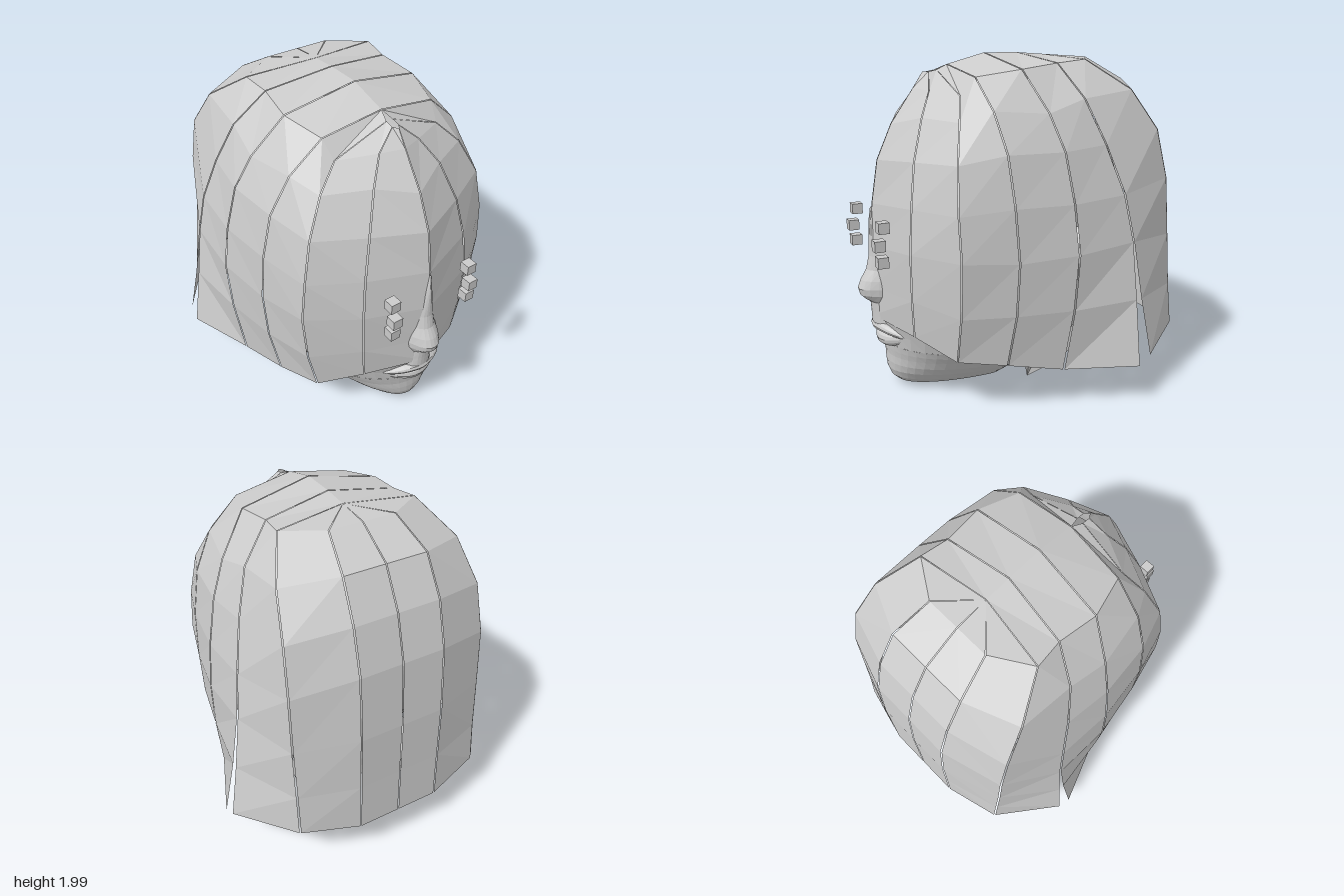
import * as THREE from 'three';

const material = new THREE.MeshStandardMaterial({ color: 0xcccccc, flatShading: true, side: THREE.DoubleSide });

// Skin a grid of cross-sections, each row holding the same number of [x, y, z] points
function loft(rows) {
  const n = rows[0].length, index = [];
  for (let i = 0; i < rows.length - 1; i++) {
    for (let j = 0; j < n - 1; j++) {
      const a = i * n + j, b = a + n;
      index.push(a, a + 1, b, a + 1, b + 1, b);
    }
  }
  const geometry = new THREE.BufferGeometry();
  geometry.setAttribute('position', new THREE.Float32BufferAttribute(rows.flat(2), 3));
  geometry.setIndex(index);
  geometry.computeVertexNormals();
  return geometry;
}

function part(name, geometry) {
  const mesh = new THREE.Mesh(geometry, material);
  mesh.name = name;
  return mesh;
}

// Hair seams on the left half, root to tip, from the front parting round to the back
const frontCentre = [[0, 1.89, 0.53], [0, 1.8, 0.59], [0, 1.6, 0.73], [0, 1.4, 0.82], [0, 1.15, 0.86], [0, 0.9, 0.88], [0, 0.65, 0.88], [0, 0.47, 0.88]];
const fringeInner = [[0.02, 1.89, 0.5], [0.13, 1.79, 0.54], [0.22, 1.65, 0.62], [0.3, 1.42, 0.7], [0.35, 1.17, 0.74], [0.37, 0.92, 0.76], [0.36, 0.65, 0.755], [0.34, 0.43, 0.74]];
const fringeOuter = [[0.02, 1.9, 0.45], [0.34, 1.77, 0.44], [0.47, 1.64, 0.5], [0.58, 1.43, 0.56], [0.63, 1.17, 0.58], [0.65, 0.92, 0.575], [0.62, 0.6, 0.57], [0.56, 0.33, 0.57]];
const temple = [[0, 1.93, 0.38], [0.36, 1.87, 0.36], [0.55, 1.7, 0.34], [0.66, 1.48, 0.31], [0.71, 1.2, 0.29], [0.725, 0.9, 0.27], [0.71, 0.6, 0.28], [0.66, 0.3, 0.31]];
const aboveEar = [[0, 1.995, 0.14], [0.43, 1.91, 0.11], [0.6, 1.68, 0.03], [0.69, 1.48, -0.02], [0.75, 1.2, -0.05], [0.78, 0.92, -0.07], [0.77, 0.6, -0.05], [0.73, 0.24, -0.01]];
const behindEar = [[0, 1.995, -0.08], [0.4, 1.94, -0.13], [0.57, 1.75, -0.21], [0.66, 1.5, -0.3], [0.73, 1.22, -0.39], [0.77, 0.95, -0.435], [0.82, 0.62, -0.44], [0.89, 0.24, -0.43]];
const backSideFront = [...behindEar.slice(0, 6), [0.82, 0.62, -0.465], [0.88, 0.29, -0.5]];
const backSide = [[0, 1.985, -0.24], [0.42, 1.96, -0.3], [0.55, 1.79, -0.54], [0.6, 1.56, -0.7], [0.615, 1.27, -0.77], [0.615, 0.92, -0.8], [0.61, 0.6, -0.83], [0.61, 0.34, -0.86]];
const backInner = [[0, 1.985, -0.24], [0.2, 1.97, -0.44], [0.25, 1.84, -0.67], [0.26, 1.62, -0.8], [0.26, 1.35, -0.88], [0.26, 0.95, -0.92], [0.26, 0.6, -0.935], [0.26, 0.29, -0.95]];
const backCentre = backInner.map(([, y, z]) => [0, y, z]);

// A strip between two seams, held slightly short of both so a fine gap shows
function hairPanel(name, a, b) {
  const mix = (p, q, t) => p.map((v, k) => v + (q[k] - v) * t);
  return part(name, loft(a.map((p, i) => [0.012, 0.988].map(t => mix(p, b[i], t)))));
}

function hairHalf() {
  const half = new THREE.Group();
  const panels = [
    ['fringePanel', frontCentre, fringeInner], ['outerFringePanel', fringeInner, fringeOuter],
    ['templePanel', fringeOuter, temple], ['sidePanel', temple, aboveEar],
    ['earPanel', aboveEar, behindEar], ['backSidePanel', backSideFront, backSide],
    ['backOuterPanel', backSide, backInner], ['backInnerPanel', backInner, backCentre],
  ];
  for (const p of panels) half.add(hairPanel(...p));

  // Jagged strands at the nape: top row, then tips
  const strands = [
    [[0.4, 0.06, 0.13], [0.31, 0, 0.02], [0.38, -0.16, 0.11], [0.38, -0.31, 0.2]],
    [[0.38, -0.31, 0.2], [0.33, -0.36, 0.04], [0.29, -0.58, 0.11], [0.25, -0.6, 0.25]],
  ];
  for (const s of strands) {
    half.add(part('napeStrand', loft([s.map(([, z], i) => [0.43 - 0.02 * i, 0.4, z]), s.map(([x, z, y]) => [x, y, z])])));
  }

  // Ear, all but hidden under the hair
  const ear = part('ear', new THREE.SphereGeometry(1, 10, 8));
  ear.scale.set(0.095, 0.16, 0.09);
  ear.position.set(0.68, 0.9, -0.13);
  half.add(ear);
  return half;
}

// Horizontal head section: half width, front z, back z, between two angles measured from the front
function section([y, w, front, back], from, to) {
  const row = [], steps = 36, middle = 0.2;
  for (let i = 0; i <= steps; i++) {
    const t = from + (to - from) * i / steps, c = Math.cos(t);
    row.push([Math.sin(t) * w, y, middle + c * (c > 0 ? front - middle : middle - back)]);
  }
  return row;
}

function headShell(name, rows, from, to) {
  return part(name, loft(rows.map(r => section(r, from, to))));
}

// Nose section: rounded ridge running back into the face
function noseSection([y, w, front]) {
  return Array.from({ length: 11 }, (_, i) => {
    const t = i / 5 - 1;
    return [t * w, y, front - (front - 0.8) * Math.pow(Math.abs(t), 2.4)];
  });
}

// Lip: tapered oval sweep following the curve of the mouth
function lip(y, height, depth, front, bow) {
  const rows = [];
  for (let i = 0; i <= 16; i++) {
    const t = i / 8 - 1, size = Math.sqrt(Math.max(0, 1 - Math.pow(Math.abs(t), 1.8))) + 0.03;
    const dip = bow * Math.exp(-t * t * 40);
    rows.push(Array.from({ length: 13 }, (_, j) => {
      const a = j / 12 * Math.PI * 2;
      return [t * 0.225, y + (0.375 - y) * t * t + Math.sin(a) * height * size - dip,
        front - 0.09 * t * t + Math.cos(a) * depth * size];
    }));
  }
  return loft(rows);
}

export function createModel() {
  const model = new THREE.Group();
  model.name = 'head';

  // Skull under the hair, with an open jaw and nape below it
  const skull = [[0.3, 0.47, 0.81, -0.55], [0.38, 0.515, 0.82, -0.57], [0.45, 0.54, 0.84, -0.58], [0.6, 0.58, 0.84, -0.65], [0.9, 0.62, 0.82, -0.75],
    [1.2, 0.63, 0.8, -0.76], [1.5, 0.55, 0.67, -0.66], [1.75, 0.34, 0.46, -0.42], [1.84, 0.1, 0.3, -0.15]];
  model.add(headShell('skull', skull, -Math.PI, Math.PI));
  const jaw = [[0.005, 0.1, 0.55, 0.05], [0.012, 0.15, 0.67, 0.05], [0.03, 0.2, 0.73, 0.04], [0.07, 0.255, 0.775, 0.0], [0.12, 0.315, 0.795, -0.08],
    [0.17, 0.365, 0.8, -0.17], [0.22, 0.405, 0.8, -0.28], [0.26, 0.44, 0.805, -0.4], [0.3, 0.47, 0.81, -0.55]];
  model.add(headShell('jaw', jaw, -2.15, 2.15));
  model.add(headShell('nape', [[0.21, 0.42, 0.8, -0.54], skull[0]], 2.4, Math.PI * 2 - 2.4));

  // Nose and the groove under it
  const nose = [[1.13, 0.006, 0.87], [1.05, 0.03, 0.882], [0.95, 0.055, 0.885], [0.84, 0.082, 0.888], [0.76, 0.095, 0.905], [0.7, 0.112, 0.94],
    [0.65, 0.118, 0.96], [0.61, 0.115, 0.95], [0.58, 0.1, 0.92], [0.56, 0.1, 0.888], [0.5, 0.105, 0.883], [0.43, 0.11, 0.88]];
  model.add(part('nose', loft(nose.map(noseSection))));

  // Mouth
  model.add(part('upperLip', lip(0.413, 0.033, 0.05, 0.832, 0.006)));
  model.add(part('lowerLip', lip(0.325, 0.046, 0.05, 0.806, 0)));

  // Hair, mirrored, with three small cubes in front of each eye
  for (const side of [1, -1]) {
    const hair = hairHalf();
    hair.name = side > 0 ? 'leftHair' : 'rightHair';
    hair.scale.x = side;
    model.add(hair);
    for (const [y, z] of [[1.07, 0.88], [0.97, 0.905], [0.875, 0.89]]) {
      const cube = part('eyeCube', new THREE.BoxGeometry(0.062, 0.062, 0.062));
      cube.position.set(side * 0.27, y, z);
      model.add(cube);
    }
  }
  return model;
}
